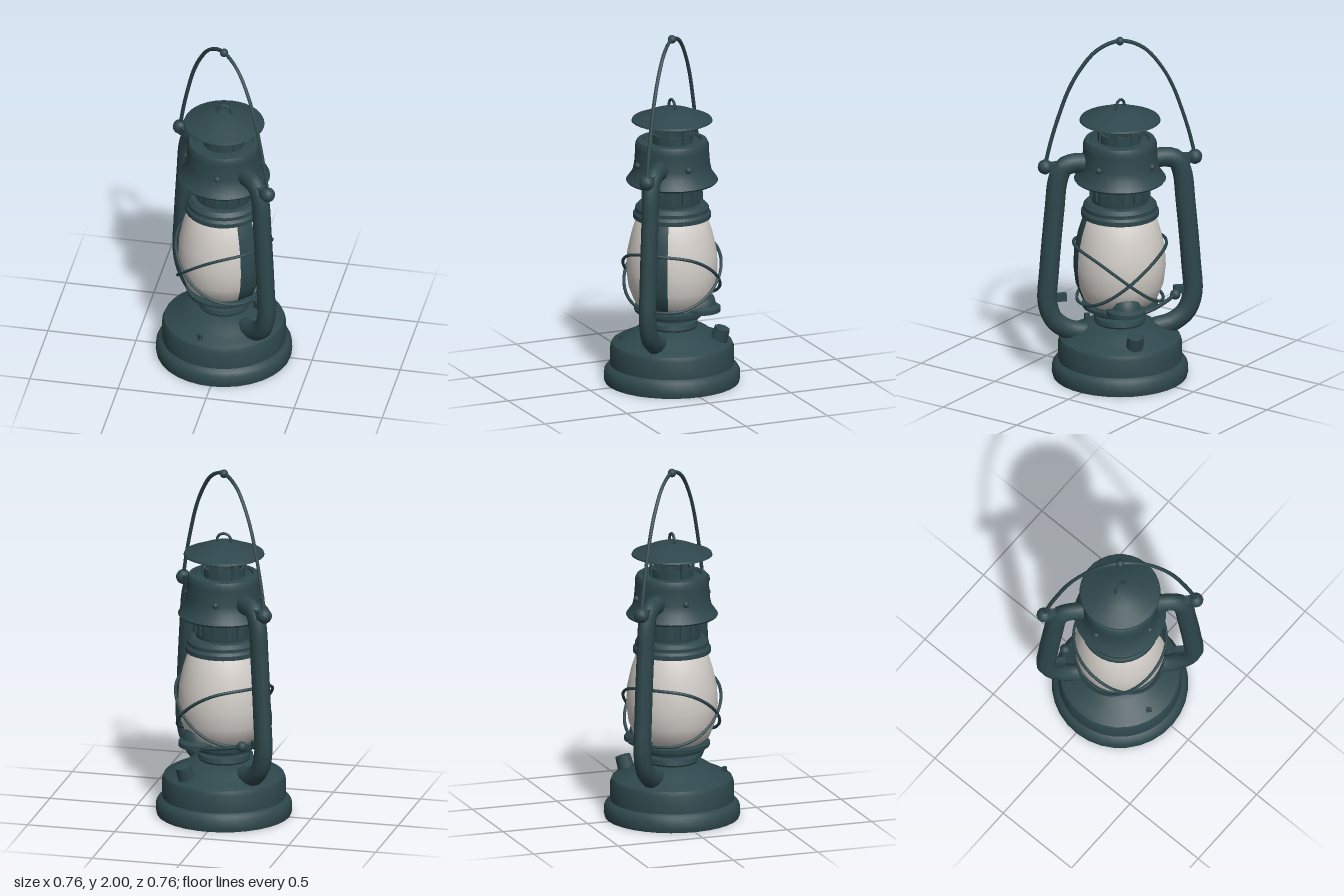
import * as THREE from 'three';
import { toCreasedNormals } from 'three/addons/utils/BufferGeometryUtils.js';

const metal = new THREE.MeshStandardMaterial({ color: 0x2e474c, side: THREE.DoubleSide });
metal.name = 'dark teal metal';
const frosted = new THREE.MeshStandardMaterial({ color: 0xd2cdc8, side: THREE.DoubleSide });
frosted.name = 'frosted glass';

export function createModel() {
  const model = new THREE.Group();
  model.name = 'lantern';
  // The side tubes lie along the local x axis, set diagonally in the world
  const body = new THREE.Group();
  body.name = 'lanternBody';
  body.rotation.y = -0.76;
  model.add(body);

  const add = (name, geo, x = 0, y = 0, z = 0, mat = metal, parent = body) => {
    const mesh = new THREE.Mesh(geo, mat);
    mesh.name = name;
    mesh.position.set(x, y, z);
    parent.add(mesh);
    return mesh;
  };
  const lathe = (pts, start = 0, length = Math.PI * 2, segs = 32) =>
    toCreasedNormals(new THREE.LatheGeometry(pts.map(p => new THREE.Vector2(...p)), segs, start, length), 0.6);
  const tube = (pts, r, segs = 40, sides = 6, closed = false) =>
    new THREE.TubeGeometry(new THREE.CatmullRomCurve3(pts.map(p => new THREE.Vector3(...p)), closed), segs, r, sides, closed);
  const ball = r => new THREE.SphereGeometry(r, 12, 8);

  // Fuel tank with flared foot and domed top
  add('fuelTank', lathe([[0, 0], [0.375, 0], [0.38, 0.02], [0.378, 0.065], [0.365, 0.085], [0.345, 0.1],
    [0.345, 0.2], [0.335, 0.225], [0.3, 0.245], [0.24, 0.27], [0.2, 0.3], [0.14, 0.315], [0, 0.315]]));
  // Burner collar and the plate under the glass
  add('burnerCollar', lathe([[0.13, 0.3], [0.145, 0.325], [0.14, 0.35], [0.11, 0.36], [0.11, 0.375],
    [0.165, 0.38], [0.175, 0.405], [0.21, 0.41], [0.212, 0.43], [0.17, 0.435], [0, 0.435]]));

  // Glass globe and the dark strip on it
  const globe = [[0.165, 0.43], [0.21, 0.465], [0.243, 0.55], [0.255, 0.65], [0.25, 0.75], [0.228, 0.85], [0.2, 0.94], [0.18, 0.97]];
  add('glassGlobe', lathe(globe), 0, 0, 0, frosted);
  add('globeStrip', lathe(globe.map(([r, y]) => [r + 0.005, y]), Math.PI / 2 - 0.24, 0.48, 6));

  // Crossed wire guard: two tilted loops
  for (const s of [1, -1]) {
    const pts = [];
    for (let i = 0; i < 24; i++) {
      const a = i / 24 * Math.PI * 2, c = Math.cos(a) * s;
      const y = 0.62 + 0.165 * c * (1.35 - 0.35 * c * c);
      const r = 0.275 - 0.9 * (y - 0.65) ** 2;
      pts.push([r * Math.cos(a), y, r * Math.sin(a)]);
    }
    add('wireGuard', tube(pts, 0.009, 64, 6, true));
  }

  // Globe holder, chimney neck and hood
  add('globeHolder', lathe([[0.19, 0.945], [0.217, 0.95], [0.217, 0.975], [0.205, 0.99], [0.205, 1.01], [0.185, 1.03], [0.155, 1.035]]));
  add('chimneyNeck', lathe([[0.155, 1.025], [0.16, 1.06], [0.16, 1.13], [0.17, 1.18]]));
  for (let i = 0; i < 16; i++) {
    const a = i / 16 * Math.PI * 2;
    const rib = add('neckRib', new THREE.BoxGeometry(0.03, 0.08, 0.014), 0.163 * Math.sin(a), 1.1, 0.163 * Math.cos(a));
    rib.rotation.y = a;
  }
  add('hood', lathe([[0.16, 1.175], [0.25, 1.155], [0.257, 1.165], [0.247, 1.18], [0.222, 1.215], [0.212, 1.26],
    [0.205, 1.35], [0.205, 1.375], [0.195, 1.395], [0.165, 1.4], [0.16, 1.385], [0.115, 1.385], [0.115, 1.435], [0.1, 1.435], [0.1, 1.2]]));
  for (let i = 0; i < 4; i++) {
    const a = (i + 0.5) * Math.PI / 2;
    add('hoodScrew', ball(0.018), 0.212 * Math.sin(a), 1.27, 0.212 * Math.cos(a));
  }

  // Vented top: posts, cap and its pull ring
  for (let i = 0; i < 6; i++) {
    const a = (i + 0.5) / 6 * Math.PI * 2;
    const post = add('ventPost', new THREE.BoxGeometry(0.045, 0.13, 0.012), 0.118 * Math.sin(a), 1.455, 0.118 * Math.cos(a));
    post.rotation.y = a;
  }
  add('ventRim', lathe([[0.125, 1.49], [0.125, 1.53]]));
  add('cap', lathe([[0, 1.535], [0.14, 1.52], [0.215, 1.502], [0.226, 1.507], [0.222, 1.517], [0.175, 1.535],
    [0.11, 1.562], [0.06, 1.578], [0, 1.582]]));
  const ring = add('capRing', new THREE.TorusGeometry(0.04, 0.008, 6, 20), 0, 1.587, 0);
  ring.rotation.y = 0.76;

  // Side tubes with hinge ears, mirrored by a half turn
  for (const turn of [0, Math.PI]) {
    const side = new THREE.Group();
    side.name = 'sideFrame';
    side.rotation.y = turn;
    body.add(side);
    const path = [[0.2, 0.265, 0], [0.3, 0.29, 0], [0.375, 0.35, 0], [0.411, 0.45, 0], [0.402, 0.65, 0],
      [0.372, 1, 0], [0.352, 1.18, 0], [0.32, 1.25, 0], [0.26, 1.27, 0], [0.18, 1.265, 0]];
    add('sideTube', tube(path, 0.056, 48, 10), 0, 0, 0, metal, side).scale.z = 0.86;
    add('hingeEar', new THREE.BoxGeometry(0.09, 0.05, 0.05), 0.385, 1.255, 0, metal, side);
    add('hingeKnob', ball(0.042), 0.425, 1.26, 0, metal, side);
    add('tubeClip', new THREE.BoxGeometry(0.06, 0.045, 0.03), 0.335, 0.48, 0, metal, side);
  }

  // Carrying handle
  const half = [[0.425, 1.27, 0], [0.395, 1.4, 0], [0.35, 1.55, 0], [0.295, 1.7, 0], [0.235, 1.81, 0], [0.15, 1.915, 0], [0.07, 1.963, 0]];
  const bail = [...half, [0, 1.978, 0], ...half.map(([x, y, z]) => [-x, y, z]).reverse()];
  add('handle', tube(bail, 0.011, 60, 6));
  add('handleKnob', ball(0.024), 0, 1.976, 0);

  // Burner dome, wick crank and small fittings
  add('burnerDome', lathe([[0.11, 0.42], [0.11, 0.445], [0.085, 0.46], [0.075, 0.5], [0.05, 0.525], [0, 0.53]]), 0, 0, -0.17);
  add('wickCrank', tube([[0, 0.43, -0.22], [-0.12, 0.435, -0.2], [-0.22, 0.455, -0.14], [-0.3, 0.475, -0.07]], 0.012, 16));
  add('crankKnob', ball(0.03), -0.3, 0.475, -0.07);
  const filler = add('fillerCap', new THREE.CylinderGeometry(0.045, 0.05, 0.08, 8), -0.03, 0.285, -0.275);
  filler.rotation.x = -0.3;
  add('tankTab', new THREE.BoxGeometry(0.03, 0.04, 0.02), 0.135, 0.255, 0.257);

  return model;
}
